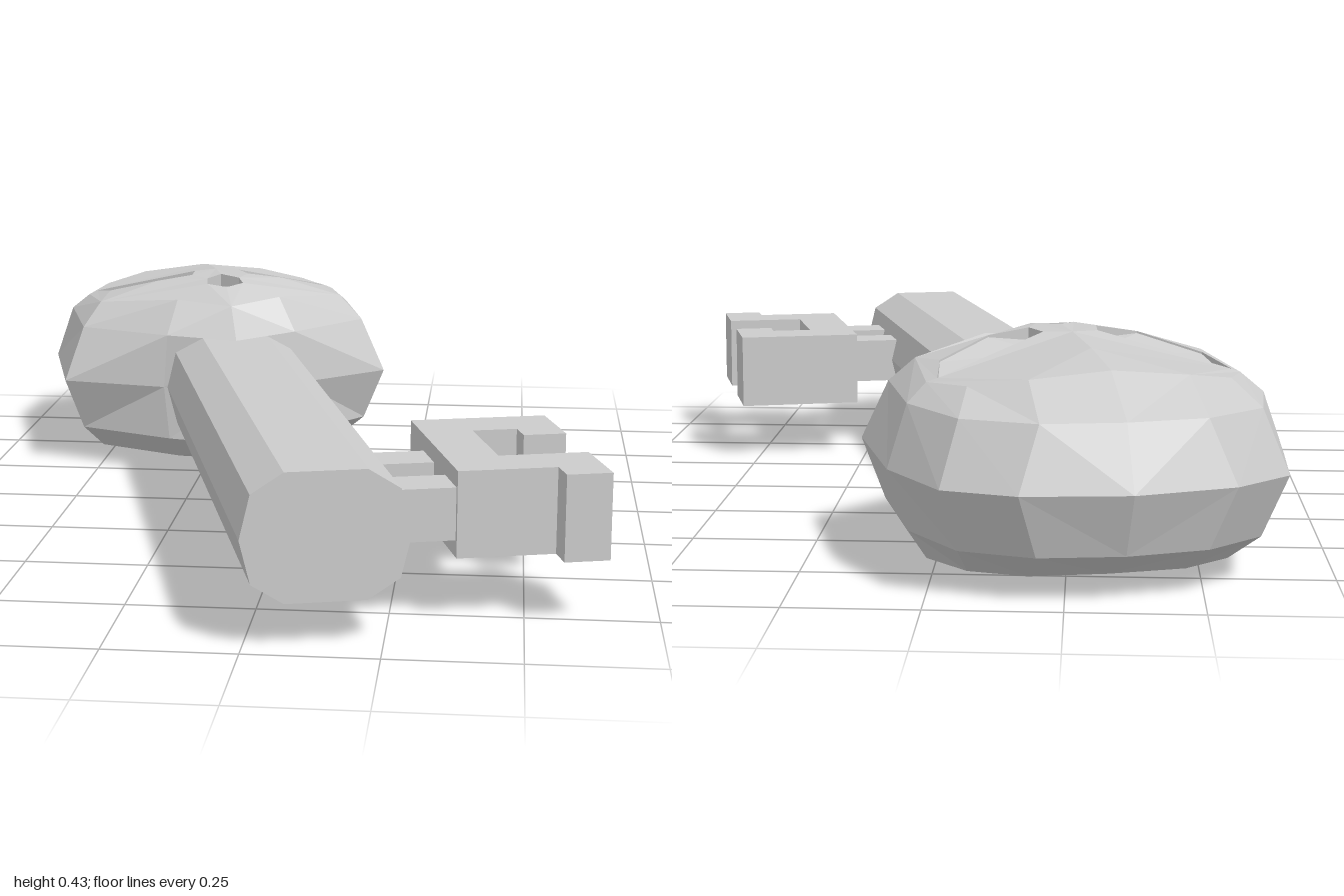
import * as THREE from 'three';

const material = new THREE.MeshStandardMaterial({ color: 0xcccccc, flatShading: true });

function addMesh(parent, geometry, name) {
  const mesh = new THREE.Mesh(geometry, material);
  mesh.name = name;
  parent.add(mesh);
  return mesh;
}

const extrude = (points, depth) => new THREE.ExtrudeGeometry(
  new THREE.Shape(points.map(([x, y]) => new THREE.Vector2(x, y))), { depth, bevelEnabled: false });

// Height of the face over the plan position (x, z)
const faceY = (x, z) => 0.435 - 0.7 * x * x - (z < -0.5 ? 0.24 : 1.25) * (z + 0.5) ** 2;

// Skull-shaped bow: one half is built at +x and every triangle is mirrored
function skullGeometry() {
  const positions = [];
  const tri = (a, b, c) => {
    positions.push(...a, ...b, ...c);
    for (const p of [a, c, b]) positions.push(-p[0], p[1], p[2]);
  };

  // Half outlines [x, z] from the back of the skull to the chin
  const widest = [[0, -1.043], [0.2, -1.01], [0.325, -0.93], [0.385, -0.732], [0.383, -0.412], [0.16, -0.305], [0, -0.225]];
  const upper = [[0, -0.99], [0.155, -0.975], [0.283, -0.895], [0.345, -0.72], [0.335, -0.452], [0.15, -0.315], [0, -0.225]];
  const lower = [[0, -0.995], [0.16, -0.975], [0.285, -0.895], [0.345, -0.72], [0.34, -0.44], [0.15, -0.29], [0, -0.205]];
  const rim = [[0, -0.88], [0.15, -0.87], [0.25, -0.81], [0.305, -0.7], [0.29, -0.5], [0.12, -0.36], [0, -0.31]];
  const level = (ring, y) => ring.map(([x, z]) => [x, y, z]);
  const onFace = ([x, z]) => [x, faceY(x, z), z];

  const shrunk = rim.map(([x, z]) => [x * 0.5, -0.6 + (z + 0.6) * 0.6]);
  const rings = [
    level(rim.map(() => [0, -0.6]), 0), level(shrunk, 0.005), level(rim, 0.025),
    level(lower, 0.085), level(widest, 0.205), level(upper, 0.325), rim.map(onFace),
  ];
  for (let r = 0; r < rings.length - 1; r++) {
    for (let i = 0; i < rim.length - 1; i++) {
      const [a, b] = [rings[r][i], rings[r][i + 1]];
      const [d, c] = [rings[r + 1][i], rings[r + 1][i + 1]];
      tri(a, d, c);
      if (r > 0) tri(a, c, b);
    }
  }

  // Eye and half nose openings: [x, z, depth], clockwise from above
  const eye = [[0.054, -0.582, 0.04], [0.285, -0.706, 0.022], [0.26, -0.6, 0.004], [0.15, -0.524, 0.004], [0.068, -0.52, 0.025]];
  const nose = [[0, -0.504, 0.03], [0.038, -0.46, 0.03], [0.042, -0.42, 0.012], [0, -0.395, 0.005]];

  // Face surface around the openings; the middle line is bowed only while triangulating
  const middle = [[0, -0.6], [0, -0.74]];
  const outline = [...rim, ...[...nose].reverse(), ...middle];
  const flat = ([x, z]) => new THREE.Vector2(x === 0 ? 0.1 * (z + 0.31) * (z + 0.88) : x, -z);
  const shape = new THREE.Shape(outline.map(flat));
  shape.holes.push(new THREE.Path(eye.map(flat)));
  const face = new THREE.ShapeGeometry(shape).toNonIndexed().attributes.position;
  const corner = (i) => onFace([face.getX(i) < 0.001 ? 0 : face.getX(i), -face.getY(i)]);
  for (let i = 0; i < face.count; i += 3) tri(corner(i), corner(i + 1), corner(i + 2));

  // Walls and sloping floors of the recesses
  for (const [pit, closed] of [[eye, true], [nose, false]]) {
    const top = pit.map(onFace);
    const floor = pit.map(([x, z, d]) => [x, faceY(x, z) - d, z]);
    const n = pit.length;
    for (let i = 0; i < (closed ? n : n - 1); i++) {
      const j = (i + 1) % n;
      tri(floor[i], floor[j], top[j]);
      tri(floor[i], top[j], top[i]);
    }
    for (let i = 1; i < n - 1; i++) tri(floor[0], floor[i + 1], floor[i]);
  }

  const geometry = new THREE.BufferGeometry();
  geometry.setAttribute('position', new THREE.Float32BufferAttribute(positions, 3));
  geometry.computeVertexNormals();
  return geometry;
}

export function createModel() {
  const model = new THREE.Group();
  model.name = 'skullKey';
  const key = new THREE.Group();
  key.name = 'key';
  key.rotation.y = Math.PI / 12;
  model.add(key);

  addMesh(key, skullGeometry(), 'skullBow').position.x = -0.105;

  // Ten-sided flattened shaft
  const side = [[0.075, -0.12], [0.135, -0.082], [0.155, 0], [0.135, 0.082], [0.075, 0.12]];
  const profile = [...side, ...side.map(([x, y]) => [-x, y]).reverse()];
  addMesh(key, extrude(profile, 1.307), 'shaft').position.set(-0.102, 0.205, -0.35);

  // Toothed bit
  const bit = [
    [0.157, 0.456], [0.432, 0.456], [0.432, 0.612], [0.347, 0.612], [0.347, 0.56], [0.258, 0.56],
    [0.258, 0.76], [0.432, 0.76], [0.432, 0.915], [0.345, 0.915], [0.345, 0.86], [0.157, 0.86],
  ];
  const bitMesh = addMesh(key, extrude(bit.map(([x, z]) => [x, -z]), 0.165), 'bit');
  bitMesh.rotation.x = -Math.PI / 2;
  bitMesh.position.y = 0.123;

  // Prongs joining the bit to the shaft
  for (const z of [0.62, 0.805]) {
    addMesh(key, new THREE.BoxGeometry(0.16, 0.1, 0.092), 'prong').position.set(0.085, 0.205, z);
  }
  return model;
}
